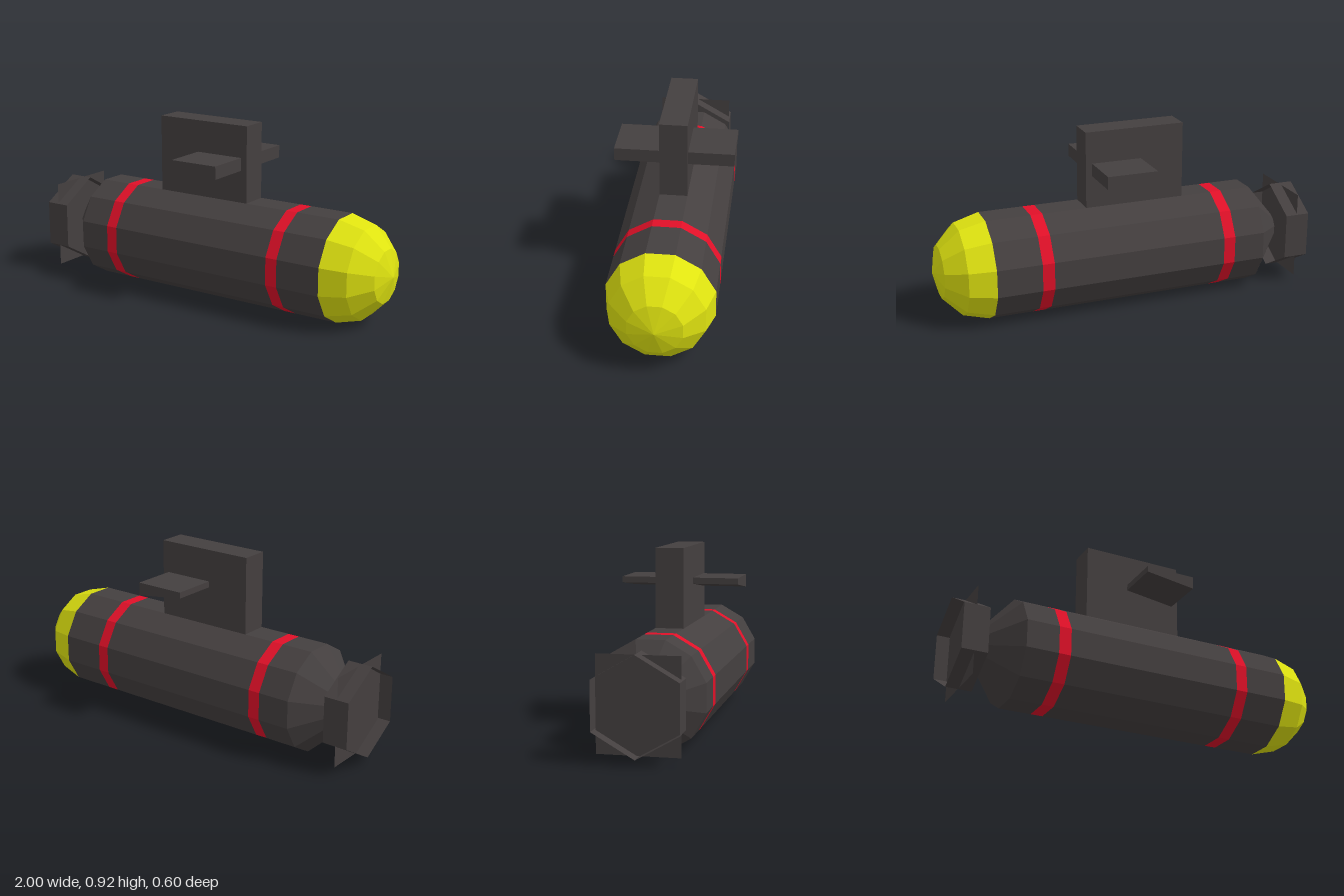
import * as THREE from 'three';

const AXIS_Y = 0.2625;                 // height of the hull axis
const R = 0.2625 / Math.cos(Math.PI / 12); // corner radius of the 12-sided hull

export function createModel() {
  const model = new THREE.Group();
  model.name = 'submarine';

  const material = (name, color, extra = {}) => {
    const m = new THREE.MeshStandardMaterial({ color, flatShading: true, ...extra });
    m.name = name;
    return m;
  };
  const grey = material('hullGrey', 0x443f3f, { side: THREE.DoubleSide });
  const red = material('stripeRed', 0xe01028);
  const yellow = material('noseYellow', 0xdfe310);

  const add = (name, geometry, mat, x = 0, y = 0, z = 0) => {
    const mesh = new THREE.Mesh(geometry, mat);
    mesh.name = name;
    mesh.position.set(x, y, z);
    model.add(mesh);
    return mesh;
  };

  // Twelve-sided hull section along x; profile holds [x, radius] from tail to nose
  const section = (name, profile, mat) => {
    const points = profile.map(([x, r]) => new THREE.Vector2(r, x));
    const geometry = new THREE.LatheGeometry(points, 12, Math.PI / 12);
    geometry.rotateZ(-Math.PI / 2);
    add(name, geometry, mat, 0, AXIS_Y);
  };

  // Hull with flush stripes
  section('tailCone', [[-0.87, 0], [-0.87, 0.078], [-0.705, R]], grey);
  section('rearHull', [[-0.705, R], [-0.54, R]], grey);
  section('rearStripe', [[-0.54, R], [-0.478, R]], red);
  section('middleHull', [[-0.478, R], [0.443, R]], grey);
  section('frontStripe', [[0.443, R], [0.505, R]], red);
  section('frontHull', [[0.505, R], [0.735, R]], grey);

  // Faceted hemispherical nose
  const nose = [0, 1, 2, 3].map((i) => {
    const a = (i * Math.PI) / 6;
    return [0.735 + 0.2645 * Math.sin(a), i === 3 ? 0 : R * Math.cos(a)];
  });
  section('nose', nose, yellow);

  // Sail
  add('sail', new THREE.BoxGeometry(0.525, 0.44, 0.14), grey, -0.0525, 0.70, 0);

  // Wedge-shaped planes on both sides of the sail
  const wedge = new THREE.Shape([
    new THREE.Vector2(-0.085, 0.725),
    new THREE.Vector2(0.177, 0.69),
    new THREE.Vector2(0.177, 0.756),
    new THREE.Vector2(-0.085, 0.756),
  ]);
  for (const [name, z] of [['frontSailPlane', 0.07], ['backSailPlane', -0.3]]) {
    const geometry = new THREE.ExtrudeGeometry(wedge, { depth: 0.23, bevelEnabled: false });
    add(name, geometry, grey, 0, 0, z);
  }

  // Open hexagonal shroud with the flat propeller plate inside
  const shroud = new THREE.CylinderGeometry(0.235, 0.235, 0.13, 6, 1, true, Math.PI / 6);
  shroud.rotateZ(-Math.PI / 2);
  add('propellerShroud', shroud, grey, -0.935, 0.265);

  const plate = new THREE.PlaneGeometry(0.394, 0.457);
  plate.rotateY(Math.PI / 2);
  add('propellerPlate', plate, grey, -0.935, AXIS_Y);

  return model;
}
